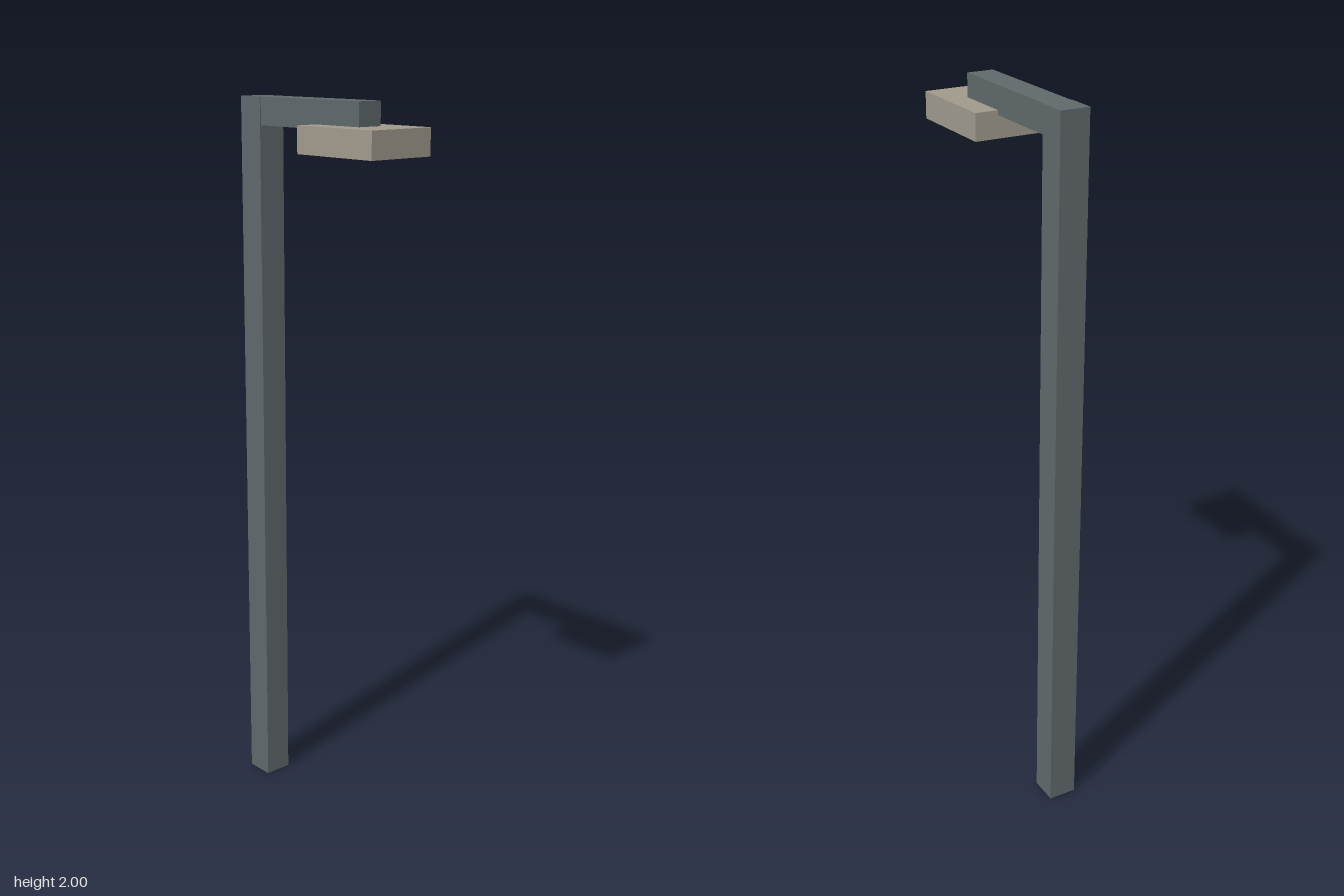
import * as THREE from 'three';

// Box given by its min and max corners
function block(name, color, min, max) {
  const size = max.map((v, i) => v - min[i]);
  const mesh = new THREE.Mesh(
    new THREE.BoxGeometry(...size),
    new THREE.MeshStandardMaterial({ color })
  );
  mesh.position.set(...max.map((v, i) => (v + min[i]) / 2));
  mesh.name = name;
  return mesh;
}

export function createModel() {
  const group = new THREE.Group();
  group.name = 'streetLamp';
  const steel = 0x60686b;
  const housing = 0xa09a8c;

  group.add(
    // Square upright post
    block('post', steel, [-0.289, 0, -0.04], [-0.209, 2, 0.04]),
    // Slightly narrower arm, butted against the post and flush with its top
    block('arm', steel, [-0.209, 1.926, -0.037], [0.175, 2, 0.037]),
    // Flat lamp head, overlapping the underside of the arm
    block('lampHead', housing, [0.014, 1.867, -0.1], [0.289, 1.938, 0.1])
  );
  return group;
}
